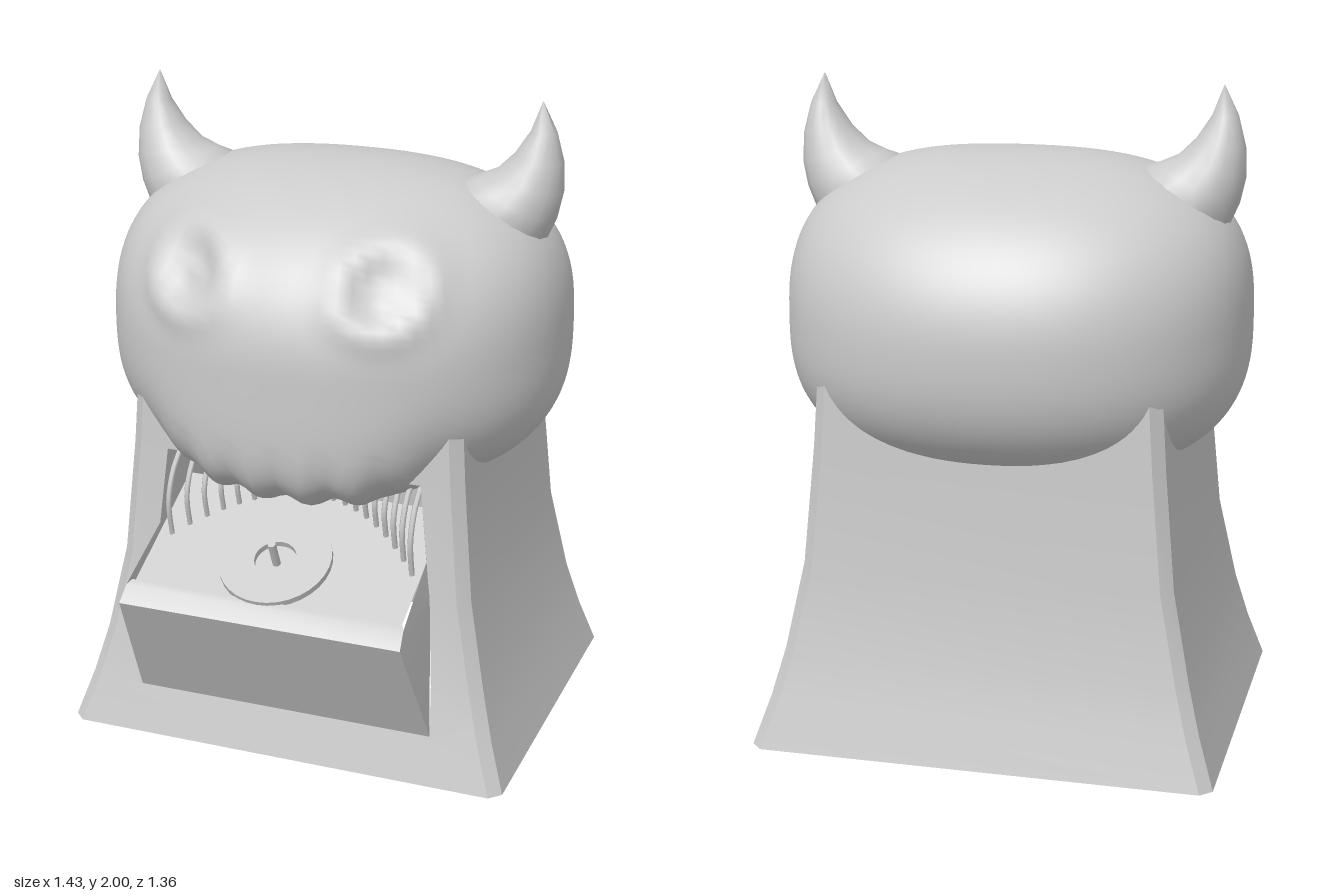
import * as THREE from 'three';
import { mergeVertices, toCreasedNormals } from 'three/addons/utils/BufferGeometryUtils.js';

const grey = new THREE.MeshStandardMaterial({ color: 0xcccccc, side: THREE.DoubleSide });

function add(parent, name, geometry) {
  const mesh = new THREE.Mesh(geometry, grey);
  mesh.name = name;
  parent.add(mesh);
  return mesh;
}

// Surface through rows of [x, y, z] points of equal length, leaving out empty triangles
function grid(rows, crease) {
  const n = rows[0].length, index = [];
  const points = rows.flat().map(p => new THREE.Vector3(...p));
  const face = (a, b, c) => {
    if (new THREE.Triangle(points[a], points[b], points[c]).getArea() > 1e-7) index.push(a, b, c);
  };
  for (let i = 0; i < rows.length - 1; i++) {
    for (let j = 0; j < n - 1; j++) {
      const a = i * n + j, b = a + n;
      face(a, a + 1, b);
      face(a + 1, b + 1, b);
    }
  }
  const g = new THREE.BufferGeometry().setFromPoints(points);
  g.setIndex(index);
  return toCreasedNormals(g, crease);
}

// Flared square tower with bevelled corners and an opening in the front wall
function bodyGeometry() {
  const bevel = 0.035, zc = -0.07;
  // y, half width, half depth, half width of the opening
  const levels = [
    [0, 0.715, 0.59, 0], [0.15, 0.665, 0.55, 0], [0.15, 0.665, 0.55, 0.48],
    [0.3, 0.625, 0.515, 0.47], [0.57, 0.57, 0.48, 0.45], [0.93, 0.537, 0.46, 0.41],
    [0.93, 0.537, 0.46, 0], [1.19, 0.52, 0.45, 0],
  ];
  return grid(levels.map(([y, w, d, o]) => {
    const half = [[o, d], [w - bevel, d], [w, d - bevel], [w, bevel - d], [w - bevel, -d]];
    const ring = [...half, ...half.map(([x, z]) => [-x, z]).reverse()];
    return ring.map(([x, z]) => [x, y, zc + z]);
  }), 0.6);
}

// Superellipsoid head with an overhanging lip and two eye sockets
function headGeometry() {
  const g = new THREE.SphereGeometry(1, 96, 64);
  g.deleteAttribute('uv');
  g.deleteAttribute('normal');
  const p = g.attributes.position;
  const radius = (t, n) => Math.pow(Math.max(0, 1 - Math.pow(Math.abs(t), n)), 1 / n);
  for (let i = 0; i < p.count; i++) {
    const sy = p.getY(i), angle = Math.atan2(p.getZ(i), p.getX(i));
    const cx = Math.cos(angle), cz = Math.sin(angle);
    const k = Math.pow(Math.abs(cx) ** 2.2 + Math.abs(cz) ** 2.2, -1 / 2.2);
    let x = 0.715 * radius(sy, 2.8) * cx * k;
    const lip = sy < 0 && cz > 0 ? 1 - THREE.MathUtils.smoothstep(Math.abs(x), 0.22, 0.5) : 0;
    const n = sy > 0 ? 2.05 : 2.5 + 2.5 * lip;
    let z = 0.62 * radius(sy, n) * cz * k;
    let y = sy * (sy > 0 ? 0.51 : 0.47);
    // scalloped edge of the lip
    if (z > 0.42 && sy < -0.5) y += 0.014 * lip * Math.cos(x * 42);
    // raised brow ring, socket and eyeball
    if (z > 0) {
      const d = Math.hypot(Math.abs(x) - 0.3, y - 0.25);
      const s = 1 + 0.03 * Math.exp(-(((d - 0.12) / 0.045) ** 2))
        - 0.07 * Math.exp(-((d / 0.075) ** 2)) + 0.04 * Math.exp(-((d / 0.03) ** 2));
      x *= s; y *= s; z *= s;
    }
    p.setXYZ(i, x, y + 1.28, z - 0.06);
  }
  const merged = mergeVertices(g, 1e-5);
  merged.computeVertexNormals();
  return merged;
}

// Upswept horn made from round sections: x, y, radius, lean of the section
function hornGeometry(side) {
  const sections = [
    [0.44, 1.57, 0.15, -0.75], [0.505, 1.66, 0.16, -0.6], [0.553, 1.71, 0.133, -0.45],
    [0.588, 1.76, 0.106, -0.3], [0.612, 1.83, 0.075, -0.15], [0.623, 1.91, 0.04, 0],
    [0.618, 2.0, 0.001, 0.1],
  ];
  return grid(sections.map(([x, y, r, lean]) => {
    const ring = [];
    for (let i = 0; i <= 16; i++) {
      const a = i / 16 * Math.PI * 2, u = r * Math.cos(a);
      ring.push([side * (x + u * Math.cos(lean)), y + u * Math.sin(lean), r * Math.sin(a) - 0.07]);
    }
    return ring;
  }), 1.2);
}

export function createModel() {
  const model = new THREE.Group();
  model.name = 'hornedPlayer';
  add(model, 'body', bodyGeometry());
  add(model, 'head', headGeometry());
  for (const s of [-1, 1]) add(model, s > 0 ? 'leftHorn' : 'rightHorn', hornGeometry(s));

  // Protruding tray: front panel, rim and sloping floor (half width, y, z)
  const tray = new THREE.Group();
  tray.name = 'tray';
  model.add(tray);
  const profile = [
    [0.48, 0.15, 0.48], [0.45, 0.53, 0.68], [0.445, 0.575, 0.635],
    [0.435, 0.584, 0.615], [0.43, 0.574, 0.61], [0.43, 0.77, 0.19],
  ];
  add(tray, 'trayPanel', grid(profile.map(([w, y, z]) => [[-w, y, z], [w, y, z]]), 0.5));

  // Tray cheeks, running on into the recess as its side walls
  const cheek = [
    [[0.48, 0.15, 0.48], [0.48, 0.15, 0.48]],
    [[0.45, 0.53, 0.68], [0.452, 0.55, 0.41]],
    [[0.445, 0.575, 0.635], [0.45, 0.58, 0.4]],
    [[0.435, 0.69, 0.4], [0.43, 0.82, 0.1]],
    [[0.41, 0.93, 0.39], [0.41, 0.93, 0.1]],
  ];
  for (const s of [-1, 1]) {
    add(tray, 'trayCheek', grid(cheek.map(row => row.map(([x, y, z]) => [s * x, y, z])), 0.5));
  }

  // Curved bars standing in a concave arc behind the disc
  const bars = new THREE.Group();
  bars.name = 'bars';
  model.add(bars);
  for (let i = 0; i < 20; i++) {
    const x = -0.39 + i * 0.79 / 19;
    const back = 0.24 * (1 - (x / 0.41) ** 2);
    const z = 0.45 - back, foot = 0.565 + 0.47 * (0.635 - z), top = 0.91;
    const path = new THREE.CatmullRomCurve3([
      new THREE.Vector3(x, foot - 0.01, z - 0.01),
      new THREE.Vector3(x, foot + (top - foot) * 0.45, z + 0.01),
      new THREE.Vector3(x, foot + (top - foot) * 0.8, z - 0.025),
      new THREE.Vector3(x, top, z - 0.08),
    ]);
    add(bars, 'bar', new THREE.TubeGeometry(path, 10, 0.009, 6));
  }

  // Tilted disc with a centre hole and spindle
  const turntable = new THREE.Group();
  turntable.name = 'turntable';
  turntable.position.set(-0.02, 0.645, 0.47);
  turntable.rotation.x = 0.44;
  model.add(turntable);
  const ring = [[0.065, 0], [0.175, 0], [0.175, 0.02], [0.065, 0.02], [0.065, 0]];
  const disc = new THREE.LatheGeometry(ring.map(([r, y]) => new THREE.Vector2(r, y)), 32);
  add(turntable, 'disc', toCreasedNormals(disc, 0.5));
  add(turntable, 'spindle', new THREE.CylinderGeometry(0.013, 0.013, 0.09, 10)).position.y = 0.04;
  return model;
}
